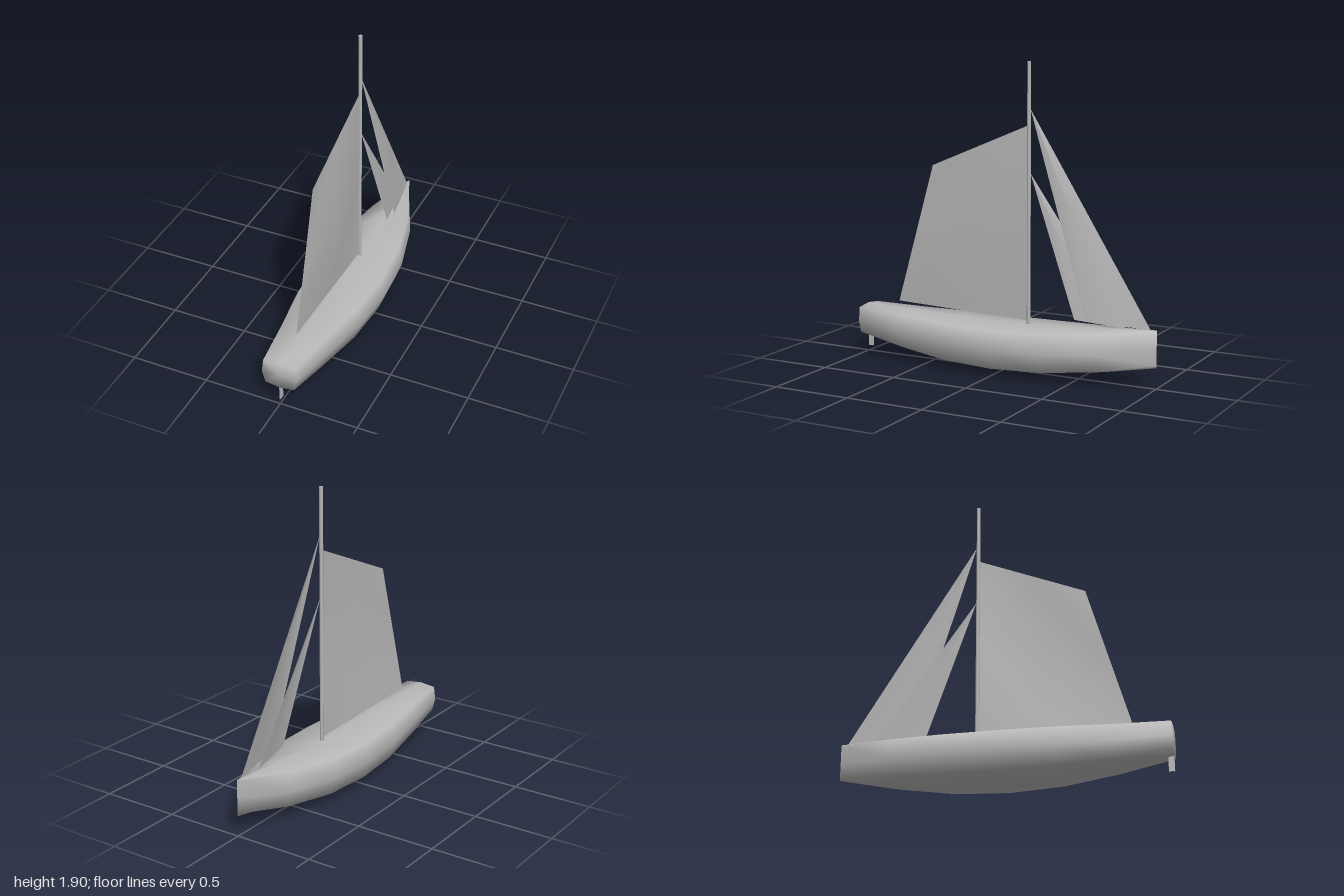
import * as THREE from 'three';

const grey = new THREE.MeshStandardMaterial({ color: 0xb8b8b8, side: THREE.DoubleSide });
grey.name = 'plain grey';

function surface(name, points, index) {
  const geo = new THREE.BufferGeometry();
  geo.setAttribute('position', new THREE.Float32BufferAttribute(points, 3));
  geo.setIndex(index);
  geo.computeVertexNormals();
  const mesh = new THREE.Mesh(geo, grey);
  mesh.name = name;
  return mesh;
}

// Hull: closed cross-sections joined from stern to bow
function hull() {
  // z, half width, then heights of keel, chine, widest line, sheer, deck centre
  const sections = [
    [1, 0.115, 0.13, 0.145, 0.22, 0.308, 0.32],
    [0.67, 0.165, 0.065, 0.093, 0.19, 0.297, 0.31],
    [0.33, 0.225, 0.02, 0.06, 0.175, 0.289, 0.303],
    [0, 0.247, 0.003, 0.05, 0.17, 0.286, 0.3],
    [-0.33, 0.225, 0.02, 0.06, 0.175, 0.295, 0.31],
    [-0.67, 0.145, 0.065, 0.093, 0.195, 0.318, 0.332],
    [-1, 0, 0.13, 0.145, 0.24, 0.35, 0.357],
  ];
  const points = [], index = [], n = 8;
  for (const [z, w, keel, chine, wide, sheer, deck] of sections) {
    const side = [[0.82 * w, chine], [w, wide], [0.9 * w, sheer]];
    points.push(0, keel, z);
    for (const [x, y] of side) points.push(x, y, z);
    points.push(0, deck, z);
    for (const [x, y] of [...side].reverse()) points.push(-x, y, z);
  }
  for (let j = 0; j < sections.length - 1; j++) {
    for (let i = 0; i < n; i++) {
      const a = j * n + i, b = j * n + (i + 1) % n;
      index.push(a, a + n, b, a + n, b + n, b);
    }
  }
  // transom
  const centre = points.length / 3;
  points.push(0, 0.22, 1);
  for (let i = 0; i < n; i++) index.push(centre, i, (i + 1) % n);
  return surface('hull', points, index);
}

// Sail: two by two patch between four corners, with the middle pushed to +x
function sail(name, lowFore, lowAft, highFore, highAft, belly) {
  const [a, b, c, d] = [lowFore, lowAft, highFore, highAft].map((p) => new THREE.Vector3(...p));
  const points = [], index = [];
  for (let j = 0; j < 3; j++) {
    for (let i = 0; i < 3; i++) {
      const low = a.clone().lerp(b, i / 2), high = c.clone().lerp(d, i / 2);
      const p = low.lerp(high, j / 2);
      if (i === 1 && j === 1) p.x += belly;
      points.push(p.x, p.y, p.z);
      if (i < 2 && j < 2) {
        const k = j * 3 + i;
        index.push(k, k + 3, k + 1, k + 1, k + 3, k + 4);
      }
    }
  }
  return surface(name, points, index);
}

export function createModel() {
  const boat = new THREE.Group();
  boat.name = 'sailboat';
  boat.add(hull());

  const mast = new THREE.Mesh(new THREE.CylinderGeometry(0.012, 0.012, 1.61, 8), grey);
  mast.name = 'mast';
  mast.position.set(0, 1.095, -0.16);
  boat.add(mast);

  const rudder = new THREE.Mesh(new THREE.BoxGeometry(0.008, 0.11, 0.035), grey);
  rudder.name = 'rudder';
  rudder.position.set(0, 0.093, 0.982);
  boat.add(rudder);

  boat.add(sail('mainsail', [0, 0.325, -0.15], [0, 0.355, 0.765], [0, 1.515, -0.15], [0, 1.24, 0.51], 0.037));

  const jibHead = [0, 1.615, -0.17], stayHead = [0, 1.23, -0.17];
  boat.add(sail('jib', [0, 0.355, -0.96], [0.066, 0.375, -0.575], jibHead, jibHead, 0.018));
  boat.add(sail('staysail', [0, 0.345, -0.8], [0.05, 0.375, -0.49], stayHead, stayHead, 0.012));
  return boat;
}
